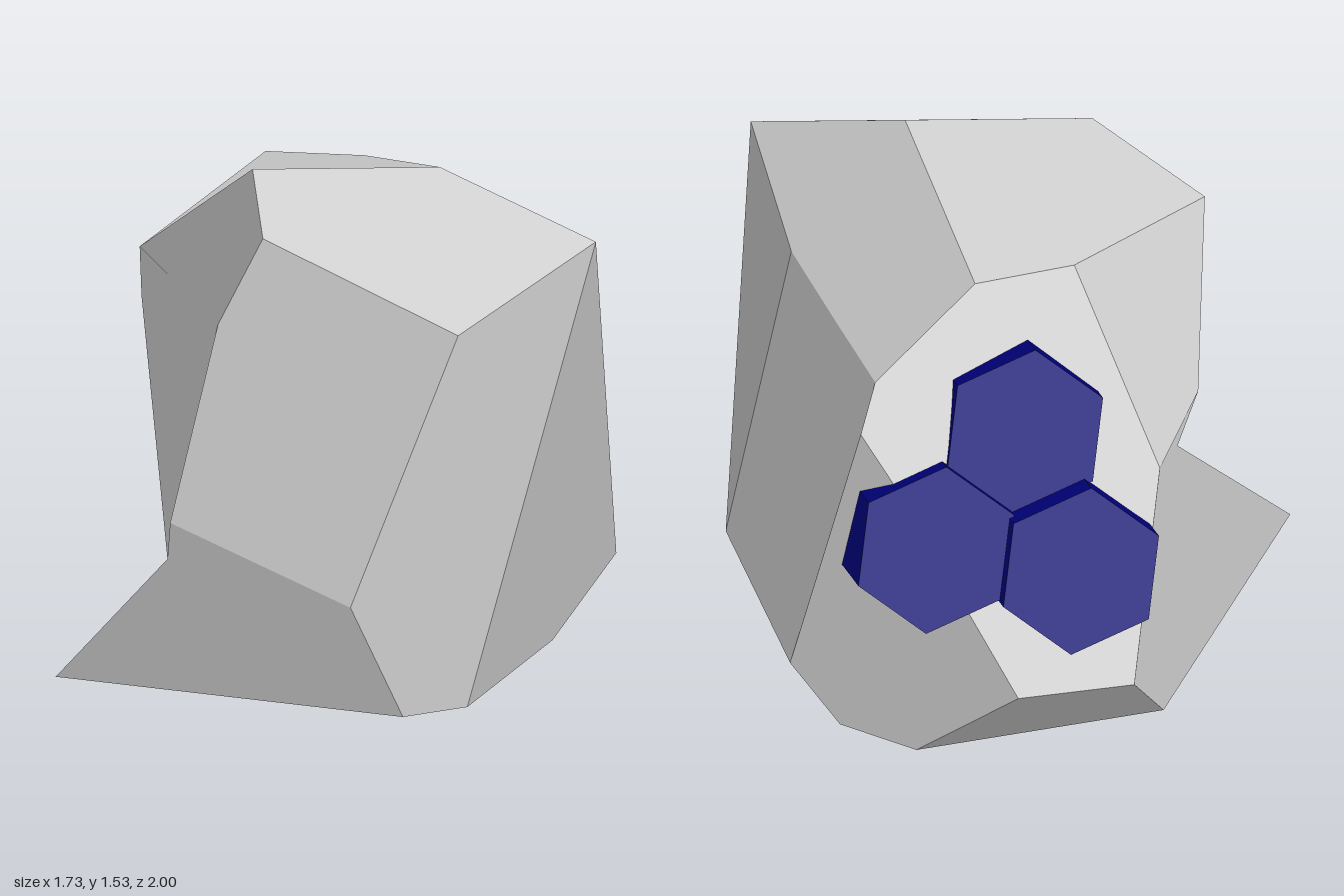
import * as THREE from 'three';

// Corner points of the boulder, one letter each
const P = {
  A: [-0.27, 1.53, 0.29], B: [0.28, 1.53, 0.38], C: [0.69, 1.36, 0.69], D: [0.86, 0.25, 0.17],
  E: [0.66, 0, 0.2], F: [-0.87, 0, 0.3], G: [-0.52, 0.33, 0.25], H: [-0.57, 0.52, 0.53],
  J: [-0.47, 0.97, -0.37], K: [-0.59, 1.28, 0.18], L: [-0.28, 1.37, 0.49], M: [0.23, 1.15, 0.89],
  N: [-0.12, 0.36, 1.0], O: [0.05, 0, 0.95], P: [0.26, 0, 0.88], Q: [0.62, 1.08, 0.4],
  R: [0.78, 0.2, -0.46], S: [0.59, 1.1, -0.59], T: [0.53, 1.22, -0.5], U: [0.58, 1.2, -0.17],
  V: [0.19, 1.39, -0.29], W: [-0.11, 1.42, -0.29], Y: [-0.3, 0.92, -0.67],
  a: [-0.4, 1.09, 0.41], b: [-0.19, 0.27, -0.85], c: [0.17, 0.3, -0.9],
  d: [0.44, 0, -0.69], e: [-0.32, 0, -0.62], f: [0.64, 0, -0.52], g: [0.5, 0.95, -0.66],
};

// Facets as loops of corners; each is fanned from its first corner
const FACETS = [
  'KABVW', 'BCQUTV', 'ABCML',              // top
  'MNHaL', 'MCPON', 'GHNOF',               // front
  'CQDEP', 'RDQUTS', 'DRfE', 'RSgcdf',     // +x side
  'YWVTSgcb', 'bcde', 'WYJK', 'GJYbeF',    // back
  'aLAKJGH',                               // -x side
  'POFedfE',                               // underside
];

// Every facet gets one normal, so slightly bent facets still shade as one plane
function facetedGeometry(points, facets, centre) {
  const v = (key) => new THREE.Vector3(...points[key]);
  const positions = [], normals = [];
  for (const loop of facets) {
    const normal = new THREE.Vector3(), mid = new THREE.Vector3();
    for (let i = 0; i < loop.length; i++) {
      const p = v(loop[i]);
      normal.add(p.clone().cross(v(loop[(i + 1) % loop.length])));
      mid.addScaledVector(p, 1 / loop.length);
    }
    normal.normalize();
    const flip = normal.dot(mid.sub(centre)) < 0;
    if (flip) normal.negate();
    for (let i = 1; i < loop.length - 1; i++) {
      const tri = [loop[0], loop[i], loop[i + 1]];
      if (flip) tri.reverse();
      for (const key of tri) {
        positions.push(...points[key]);
        normals.push(normal.x, normal.y, normal.z);
      }
    }
  }
  const geo = new THREE.BufferGeometry();
  geo.setAttribute('position', new THREE.Float32BufferAttribute(positions, 3));
  geo.setAttribute('normal', new THREE.Float32BufferAttribute(normals, 3));
  return geo;
}

export function createModel() {
  const model = new THREE.Group();
  model.name = 'boulderWithCrystals';

  const stone = new THREE.MeshStandardMaterial({ color: 0xcccccc });
  const boulder = new THREE.Mesh(
    facetedGeometry(P, FACETS, new THREE.Vector3(0.1, 0.5, 0.1)), stone);
  boulder.name = 'boulder';
  model.add(boulder);

  // Three hexagonal crystals leaning out of the back, placed by their outer cap
  const blue = new THREE.MeshStandardMaterial({ color: 0x000080, flatShading: true });
  const depth = 0.34;
  const prism = new THREE.CylinderGeometry(0.255, 0.255, depth, 6);
  prism.rotateY(-0.19);
  prism.translate(0, -depth / 2, 0);
  prism.rotateX(-1.18);
  const crystals = new THREE.Group();
  crystals.name = 'crystals';
  for (const cap of [[-0.02, 0.74, -0.9], [0.4, 0.8, -0.8], [0.1, 1.07, -0.63]]) {
    const crystal = new THREE.Mesh(prism, blue);
    crystal.name = 'crystal';
    crystal.position.set(...cap);
    crystals.add(crystal);
  }
  model.add(crystals);
  return model;
}
